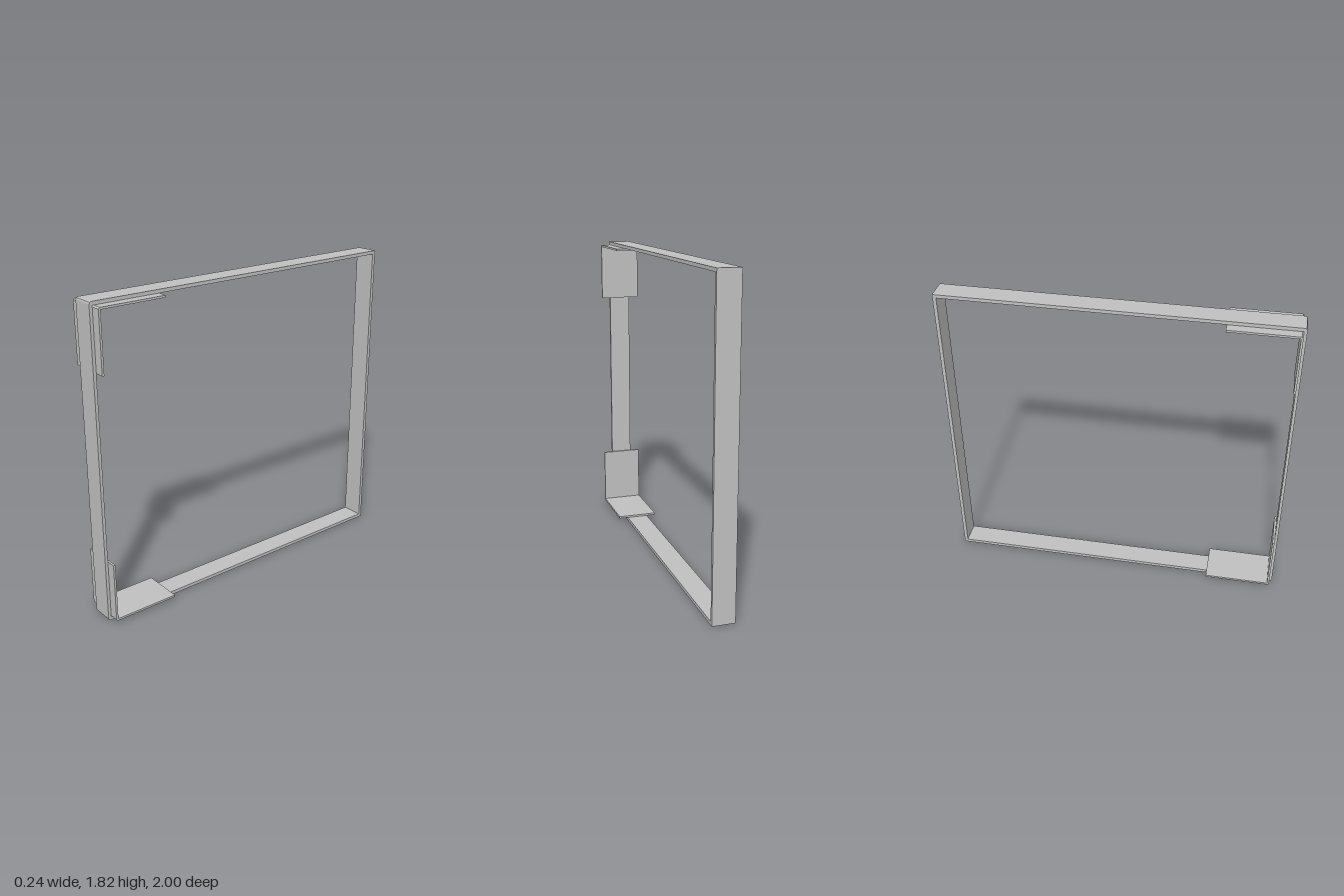
import * as THREE from 'three';

const HEIGHT = 1.815;

export function createModel() {
  const group = new THREE.Group();
  const steel = new THREE.MeshStandardMaterial({ color: 0xc0c0c0 });
  steel.name = 'light grey steel';

  // Extrudes a side profile (z, y) across x, centred on x = 0
  function addStrip(name, shape, width) {
    const geometry = new THREE.ExtrudeGeometry(shape, { depth: width, bevelEnabled: false });
    geometry.translate(0, 0, -width / 2);
    geometry.rotateY(-Math.PI / 2);
    const mesh = new THREE.Mesh(geometry, steel);
    mesh.name = name;
    group.add(mesh);
  }

  const outline = (points, Type = THREE.Shape) =>
    new Type(points.map(([z, y]) => new THREE.Vector2(z, y)));

  // Flat band frame, square at the back and softened at the front corners
  const c = 0.013, t = 0.02;
  const frame = outline([
    [-1, 0], [1 - c, 0], [1 - c * 0.3, c * 0.3], [1, c],
    [1, HEIGHT - c], [1 - c * 0.3, HEIGHT - c * 0.3], [1 - c, HEIGHT], [-1, HEIGHT],
  ]);
  frame.holes.push(outline([
    [-1 + t, t], [-1 + t, HEIGHT - t], [0.983, HEIGHT - t], [0.983, t],
  ], THREE.Path));
  addStrip('frameBand', frame, 0.13);

  // Wide L-shaped plates inside both front corners
  for (const top of [false, true]) {
    const y = (v) => (top ? HEIGHT - v : v);
    const points = [
      [0.59, 0.02], [0.975, 0.02], [0.983, 0.028], [0.983, 0.37],
      [0.971, 0.37], [0.971, 0.032], [0.59, 0.032],
    ].map(([z, v]) => [z, y(v)]);
    addStrip(top ? 'upperCornerPlate' : 'lowerCornerPlate', outline(points), 0.244);
  }
  return group;
}
